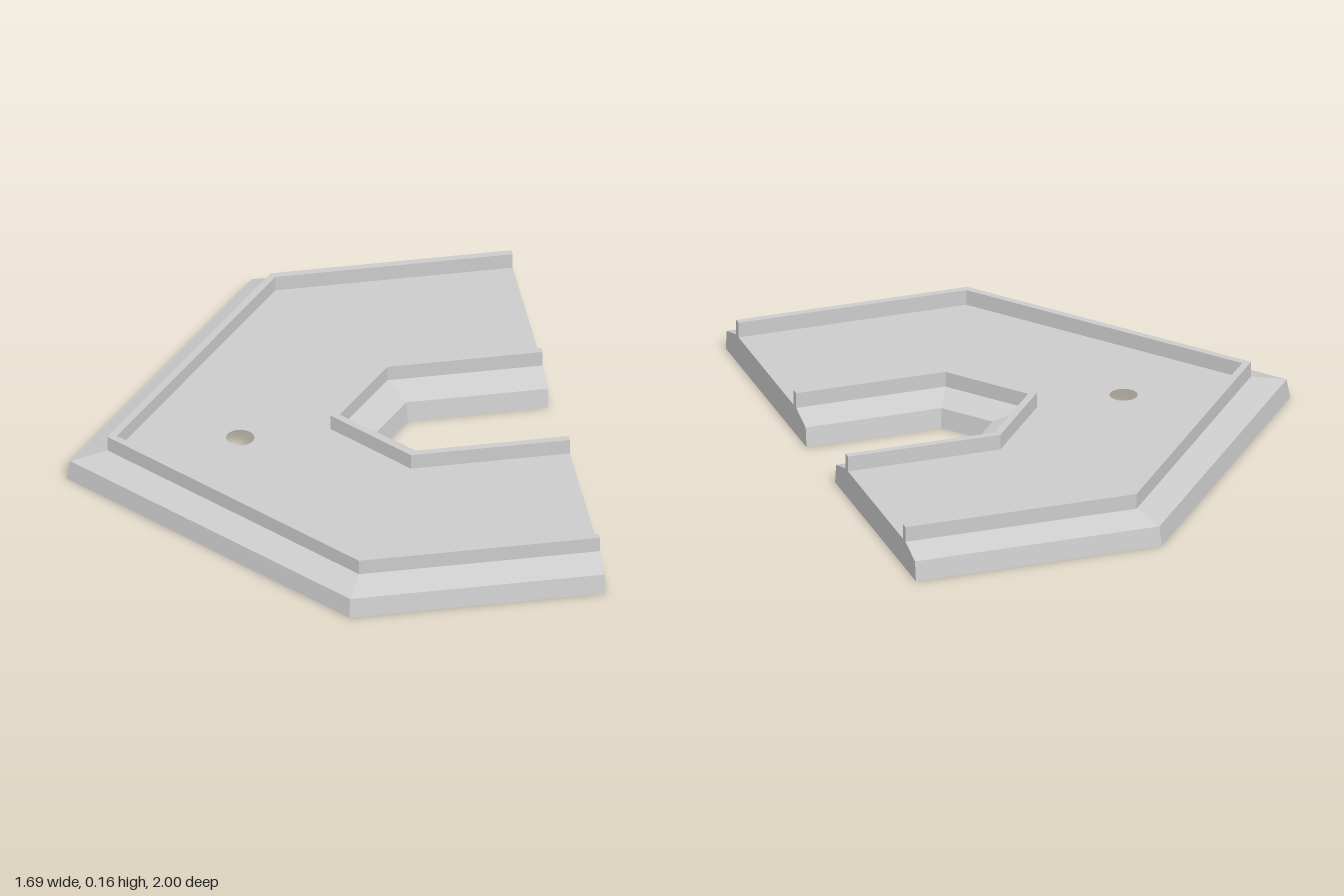
import * as THREE from 'three';

const END = 0.845;     // x of the cut-off end
const SLOPE = 0.805;   // x run of the pointed sides per unit z
const BASE_Y = 0.07, DECK_Y = 0.1, RAIL_Y = 0.155;

// Profiles as [inset, height] pairs, shared by the outer edge and the notch
const SKIRT = [[0, 0], [0.01, BASE_Y], [0.11, DECK_Y]];
const RAIL = [[0.11, DECK_Y], [0.11, RAIL_Y], [0.135, RAIL_Y], [0.135, DECK_Y]];

const material = new THREE.MeshStandardMaterial({
  color: 0xcccccc, flatShading: true, side: THREE.DoubleSide,
});

// Pointed outline [x, z] moved sideways by d, running from the -z end to the +z end
function outline(tip, halfWidth, d) {
  const w = halfWidth - d;
  const t = tip + d * Math.hypot(1, SLOPE);
  const c = t + SLOPE * w;
  return [[END, -w], [c, -w], [t, 0], [c, w], [END, w]];
}
const outer = (d) => outline(-0.845, 1, d);
const notch = (d) => outline(0.24, 0.15, -d);

// Sweep a profile along an outline as flat quads
function sweep(path, profile, flip) {
  const pos = [];
  for (let k = 0; k < profile.length - 1; k++) {
    const [d0, y0] = profile[k], [d1, y1] = profile[k + 1];
    const low = path(d0), high = path(d1);
    if (flip) { low.reverse(); high.reverse(); }
    for (let i = 0; i < low.length - 1; i++) {
      const a = [low[i][0], y0, low[i][1]], b = [low[i + 1][0], y0, low[i + 1][1]];
      const c = [high[i + 1][0], y1, high[i + 1][1]], e = [high[i][0], y1, high[i][1]];
      pos.push(...a, ...b, ...c, ...a, ...c, ...e);
    }
  }
  const g = new THREE.BufferGeometry();
  g.setAttribute('position', new THREE.Float32BufferAttribute(pos, 3));
  g.computeVertexNormals();
  return g;
}

export function createModel() {
  const model = new THREE.Group();
  const add = (name, geometry) => {
    const mesh = new THREE.Mesh(geometry, material);
    mesh.name = name;
    model.add(mesh);
  };

  // Bevelled skirts and raised rails, hollow underneath
  add('outerSkirt', sweep(outer, SKIRT, false));
  add('outerRail', sweep(outer, RAIL, false));
  add('notchSkirt', sweep(notch, SKIRT, true));
  add('notchRail', sweep(notch, RAIL, true));

  // Deck between the rails, with a round hole
  const points = [...outer(0.135), ...notch(0.135).reverse()];
  const deck = new THREE.Shape(points.map(([x, z]) => new THREE.Vector2(x, -z)));
  deck.holes.push(new THREE.Path().absarc(-0.245, 0, 0.048, 0, Math.PI * 2, true));
  add('deck', new THREE.ShapeGeometry(deck, 32).rotateX(-Math.PI / 2).translate(0, DECK_Y, 0));

  // Flat caps on the two arm ends
  const profile = [...SKIRT, ...RAIL.slice(1)];
  const section = [
    ...profile.map(([d, y]) => [1 - d, y]),
    ...profile.map(([d, y]) => [0.15 + d, y]).reverse(),
  ];
  for (const [name, s] of [['frontEndCap', 1], ['backEndCap', -1]]) {
    const shape = new THREE.Shape(section.map(([z, y]) => new THREE.Vector2(-s * z, y)));
    add(name, new THREE.ShapeGeometry(shape).rotateY(Math.PI / 2).translate(END, 0, 0));
  }

  return model;
}
